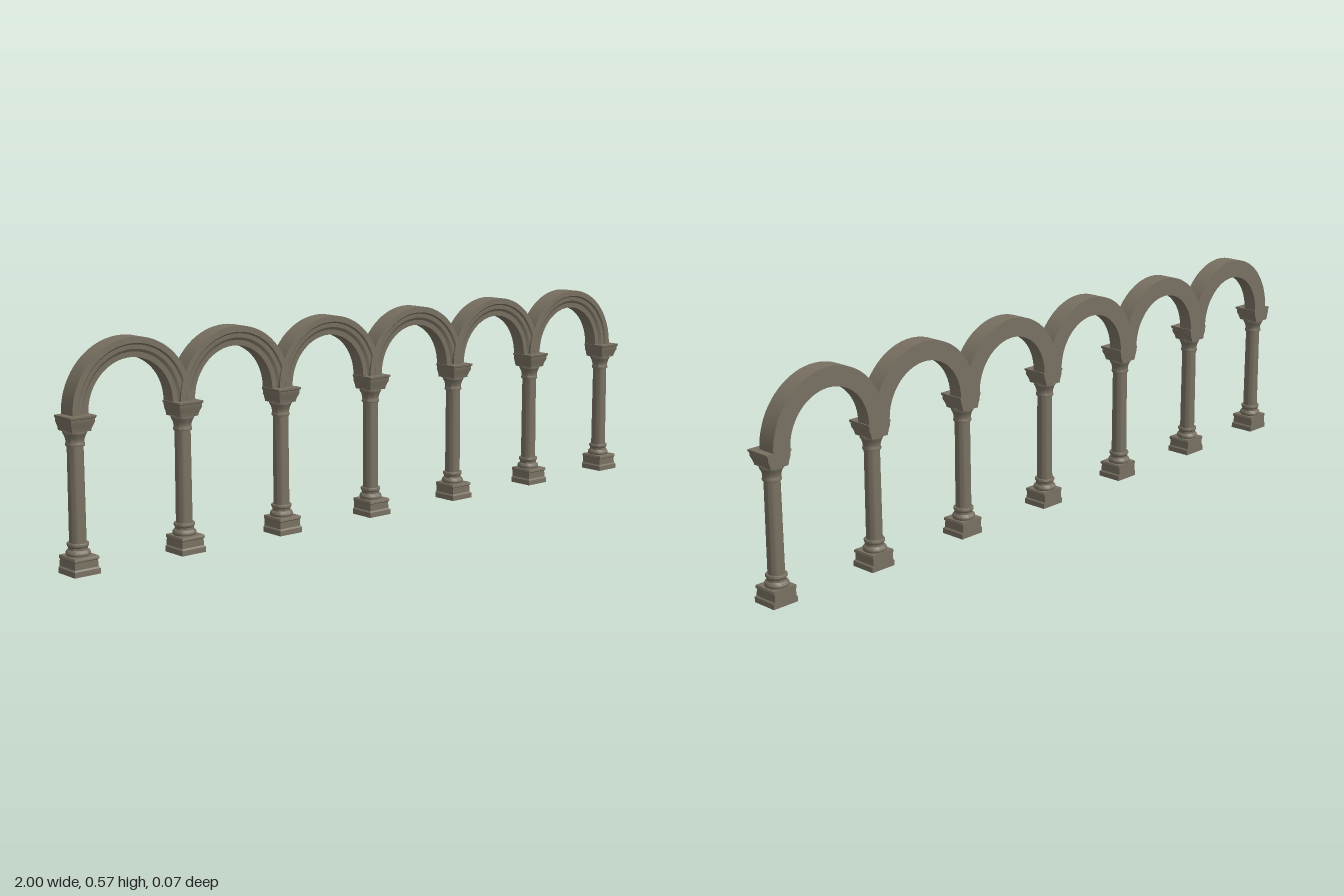
import * as THREE from 'three';
import { toCreasedNormals } from 'three/addons/utils/BufferGeometryUtils.js';

const BACK = -0.036;      // flat rear plane shared by plinths, capitals and arches
const SPACING = 0.3208;   // distance between column axes
const COLUMNS = 7;
const AXIS_Z = -0.004;    // column axis sits slightly behind the centre
const SPRING = 0.395;     // height where the arches start

const points = (list) => list.map(([r, y]) => new THREE.Vector2(r, y));

// Square moulding: a four-sided lathe of [halfWidth, y] whose rear is cut flat
function squareMoulding(profile) {
  const geo = new THREE.LatheGeometry(
    points(profile.map(([h, y]) => [h * Math.SQRT2, y])), 4, Math.PI / 4);
  const pos = geo.attributes.position;
  for (let i = 0; i < pos.count; i++) {
    if (pos.getZ(i) < -0.001) pos.setZ(i, BACK);
  }
  return toCreasedNormals(geo, 0.5);
}

function roundMoulding(profile) {
  const geo = new THREE.LatheGeometry(points(profile), 28);
  geo.translate(0, 0, AXIS_Z);
  return toCreasedNormals(geo, 0.7);
}

// Half ring with a moulded front face; profile is [radius, z]
function archRing() {
  const profile = [
    [0.178, BACK], [0.178, 0.016], [0.162, 0.016], [0.158, 0.012], [0.147, 0.011],
    [0.140, 0.006], [0.126, 0.005], [0.126, BACK], [0.178, BACK],
  ];
  const geo = new THREE.LatheGeometry(points(profile), 36, Math.PI / 2, Math.PI);
  geo.rotateX(Math.PI / 2);
  return toCreasedNormals(geo, 0.5);
}

export function createModel() {
  const model = new THREE.Group();
  model.name = 'arcade';

  const stone = new THREE.MeshStandardMaterial({ color: 0x787061, side: THREE.DoubleSide });
  stone.name = 'weathered stone';

  const parts = {
    plinth: squareMoulding([
      [0, 0], [0.0375, 0], [0.0375, 0.014], [0.034, 0.018], [0.033, 0.036],
      [0.0355, 0.038], [0.0355, 0.043], [0.034, 0.046], [0, 0.046],
    ]),
    columnBase: roundMoulding([
      [0, 0.045], [0.029, 0.045], [0.031, 0.049], [0.031, 0.054], [0.029, 0.058],
      [0.025, 0.061], [0.024, 0.066], [0.026, 0.069], [0.0275, 0.072],
      [0.0275, 0.076], [0.026, 0.078], [0, 0.078],
    ]),
    shaft: roundMoulding([[0.0215, 0.076], [0.021, 0.2], [0.0205, 0.322]]),
    columnNeck: roundMoulding([
      [0, 0.319], [0.0235, 0.319], [0.0245, 0.322], [0.0235, 0.326], [0.0225, 0.328],
      [0.0235, 0.336], [0.026, 0.344], [0.0295, 0.35], [0.0305, 0.354],
      [0.0295, 0.358], [0, 0.358],
    ]),
    capital: squareMoulding([
      [0, 0.356], [0.027, 0.356], [0.028, 0.362], [0.0305, 0.37], [0.034, 0.378],
      [0.0345, 0.388], [0.037, 0.39], [0.0375, SPRING], [0, SPRING],
    ]),
  };

  // Columns, each stacked from the same five parts
  for (let i = 0; i < COLUMNS; i++) {
    const column = new THREE.Group();
    column.name = `column${i + 1}`;
    column.position.x = (i - (COLUMNS - 1) / 2) * SPACING;
    for (const [name, geo] of Object.entries(parts)) {
      const mesh = new THREE.Mesh(geo, stone);
      mesh.name = name;
      column.add(mesh);
    }
    model.add(column);
  }

  // Round arches spanning between neighbouring capitals
  const ring = archRing();
  for (let i = 0; i < COLUMNS - 1; i++) {
    const arch = new THREE.Mesh(ring, stone);
    arch.name = `arch${i + 1}`;
    arch.position.set((i - (COLUMNS - 2) / 2) * SPACING, SPRING, 0);
    model.add(arch);
  }

  return model;
}
